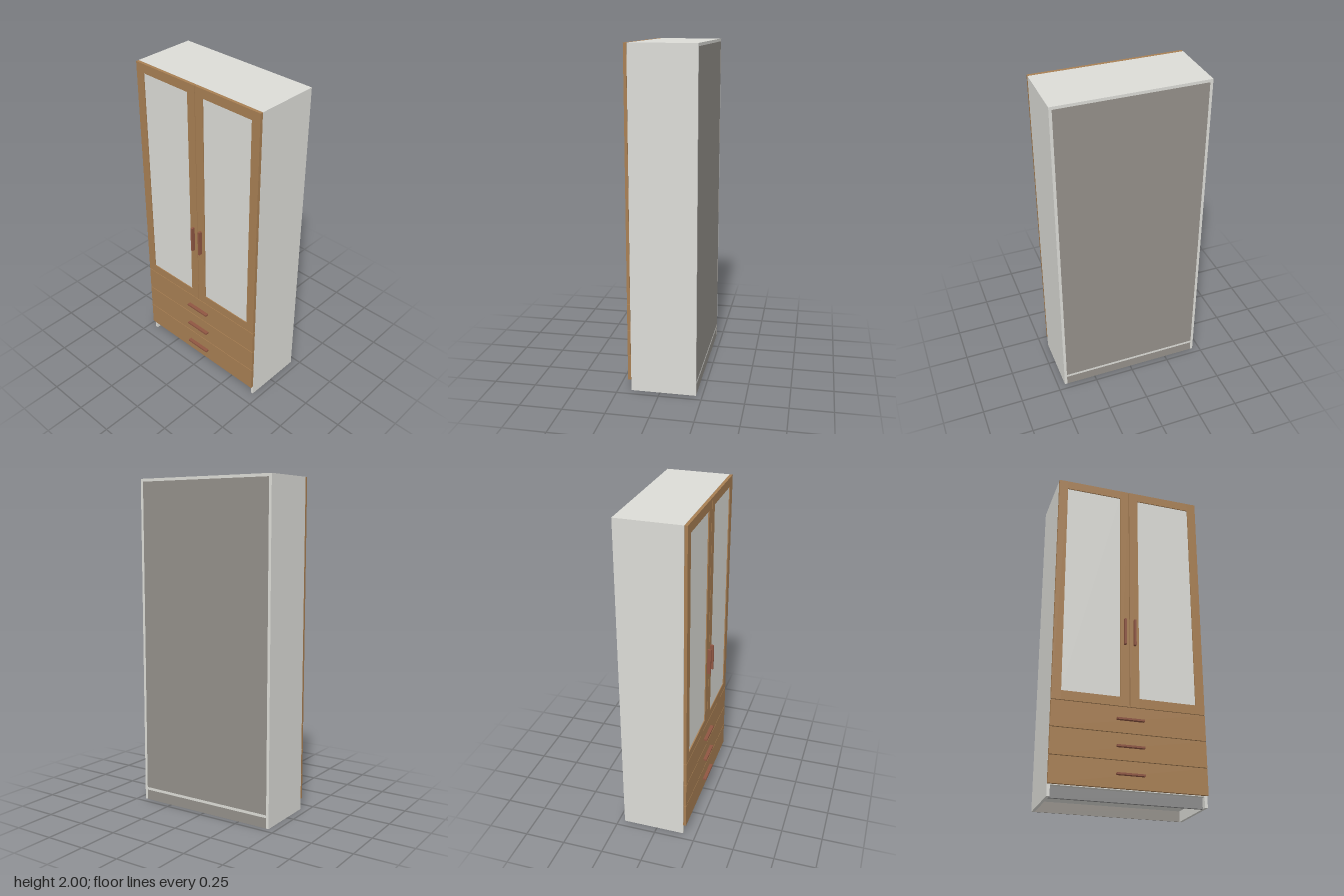
import * as THREE from 'three';

const mat = (name, color) => {
  const m = new THREE.MeshStandardMaterial({ color });
  m.name = name;
  return m;
};

export function createModel() {
  const white = mat('pale board', 0xdcdcd7);
  const wood = mat('brown wood', 0xa87f53);
  const red = mat('reddish handle wood', 0x8f5642);
  const grey = mat('plinth grey', 0x8c8c8c);
  const backing = mat('back board', 0x94908a);
  const model = new THREE.Group();
  model.name = 'wardrobe';

  // Box given by its lower and upper limits on each axis
  const box = (name, m, x0, x1, y0, y1, z0, z1, parent = model) => {
    const mesh = new THREE.Mesh(new THREE.BoxGeometry(x1 - x0, y1 - y0, z1 - z0), m);
    mesh.position.set((x0 + x1) / 2, (y0 + y1) / 2, (z0 + z1) / 2);
    mesh.name = name;
    parent.add(mesh);
  };

  const W = 0.455, IN = 0.438, ZB = -0.213, ZF = 0.171, DOOR = 0.19, GRIP = 0.212;

  // Carcass
  for (const s of [-1, 1]) {
    const [a, b] = s < 0 ? [-W, -IN] : [IN, W];
    box(s < 0 ? 'rightSide' : 'leftSide', white, a, b, 0, 2, ZB, ZF);
  }
  box('topBoard', white, -IN, IN, 1.983, 2, ZB, ZF);
  box('bottomBoard', white, -IN, IN, 0.062, 0.079, ZB, ZF);
  box('backPanel', backing, -IN, IN, 0.079, 1.983, ZB, ZB + 0.006);
  box('backPlinth', backing, -IN, IN, 0, 0.062, ZB, ZB + 0.006);
  box('frontPlinth', grey, -IN, IN, 0, 0.062, 0.123, 0.14);

  // Two framed doors with pale panels
  for (const s of [-1, 1]) {
    const door = new THREE.Group();
    door.name = s < 0 ? 'rightDoor' : 'leftDoor';
    model.add(door);
    const part = (name, m, a, b, y0, y1, z0, z1) =>
      box(name, m, Math.min(s * a, s * b), Math.max(s * a, s * b), y0, y1, z0, z1, door);
    part('outerStile', wood, 0.4, W, 0.535, 2, ZF + 0.001, DOOR);
    part('innerStile', wood, 0.002, 0.057, 0.535, 2, ZF + 0.001, DOOR);
    part('bottomRail', wood, 0.057, 0.4, 0.535, 0.59, ZF + 0.001, DOOR);
    part('topRail', wood, 0.057, 0.4, 1.945, 2, ZF + 0.001, DOOR);
    part('doorPanel', white, 0.057, 0.4, 0.59, 1.945, 0.178, 0.184);
    part('doorHandle', red, 0.023, 0.036, 0.916, 1.08, DOOR, GRIP);
  }

  // Three drawers
  for (let i = 0; i < 3; i++) {
    const y = 0.066 + i * 0.1565;
    box('drawerFront', wood, -W, W, y, y + 0.1525, ZF + 0.001, DOOR);
    box('drawerHandle', red, -0.081, 0.081, y + 0.071, y + 0.082, DOOR, GRIP);
  }
  return model;
}
